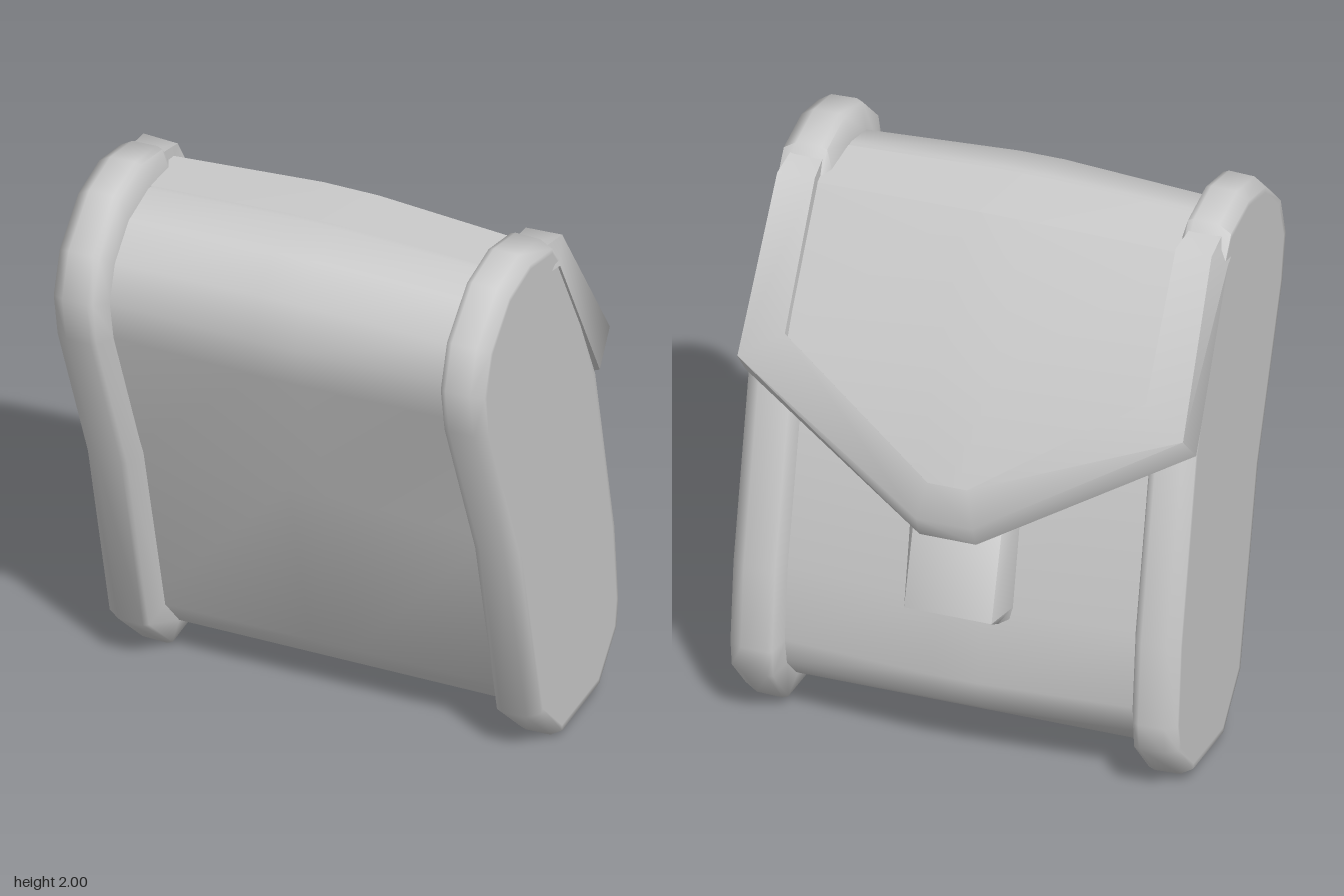
import * as THREE from 'three';
import { toCreasedNormals } from 'three/addons/utils/BufferGeometryUtils.js';

const material = new THREE.MeshStandardMaterial({ color: 0xcccccc });
const thinMaterial = new THREE.MeshStandardMaterial({ color: 0xcccccc, side: THREE.DoubleSide });

// Skin a series of closed cross-sections, cap both ends and turn faces outward
function loft(rings, crease) {
  const n = rings[0].length, pos = rings.flat(2), idx = [];
  for (let r = 0; r < rings.length - 1; r++) {
    for (let i = 0; i < n; i++) {
      const a = r * n + i, b = r * n + (i + 1) % n;
      idx.push(a, b, b + n, a, b + n, a + n);
    }
  }
  [[0, true], [rings.length - 1, false]].forEach(([r, flip]) => {
    const c = pos.length / 3;
    for (let k = 0; k < 3; k++) pos.push(rings[r].reduce((s, p) => s + p[k], 0) / n);
    for (let i = 0; i < n; i++) {
      const a = r * n + i, b = r * n + (i + 1) % n;
      idx.push(c, flip ? b : a, flip ? a : b);
    }
  });
  const p = (i) => new THREE.Vector3().fromArray(pos, i * 3);
  let volume = 0;
  for (let i = 0; i < idx.length; i += 3) volume += p(idx[i]).dot(p(idx[i + 1]).cross(p(idx[i + 2])));
  if (volume < 0) idx.reverse();
  return finish(pos, idx, crease);
}

function finish(pos, idx, crease) {
  const g = new THREE.BufferGeometry();
  g.setAttribute('position', new THREE.Float32BufferAttribute(pos, 3));
  g.setIndex(idx);
  return toCreasedNormals(g, crease);
}

// Side silhouette as [z, y]; the first list is the rim, the second the body
const rimProfile = [
  [0.58, 1.65], [0.53, 1.81], [0.37, 1.96], [0.2, 2], [0.03, 1.97], [-0.07, 1.82], [-0.17, 1.6], [-0.33, 1.28],
  [-0.48, 0.6], [-0.51, 0.3], [-0.5, 0.2], [-0.35, 0.03], [-0.05, 0], [0.14, 0.17], [0.31, 0.89], [0.55, 1.48],
];
const bodyProfile = [
  [0.49, 1.62], [0.45, 1.75], [0.34, 1.86], [0.19, 1.9], [0.02, 1.87], [-0.08, 1.76], [-0.15, 1.56], [-0.26, 1.26],
  [-0.41, 0.6], [-0.44, 0.32], [-0.42, 0.22], [-0.32, 0.12], [-0.05, 0.1], [0.06, 0.22], [0.23, 0.9], [0.46, 1.47],
];

// Rim cross-section at x, drawn part of the way in towards the body profile
const rimRing = (x, inset) => rimProfile.map(([z, y], i) => [
  x, y + (bodyProfile[i][1] - y) * inset, z + (bodyProfile[i][0] - z) * inset]);

// Body cross-section; bulge pushes the middle out at front, top and back
const bodyRing = (x, bulge) => bodyProfile.map(([z, y]) => [
  x, y + (y > 1.7 ? 0.025 * bulge : 0), z + bulge * (z > 0.3 ? 0.02 : z < -0.2 && y > 0.2 ? -0.04 : 0)]);

export function createModel() {
  const model = new THREE.Group();
  const add = (name, geometry, mat = material) => {
    const mesh = new THREE.Mesh(geometry, mat);
    mesh.name = name;
    model.add(mesh);
  };

  // Main pouch
  add('pouchBody', loft([bodyRing(-0.68, 0), bodyRing(-0.08, 1), bodyRing(0.08, 1), bodyRing(0.68, 0)], 0.9));

  // Padded side panels with raised rims
  for (const s of [-1, 1]) {
    add(s > 0 ? 'leftSidePanel' : 'rightSidePanel', loft([
      rimRing(s * 0.615, 1), rimRing(s * 0.64, 0.08), rimRing(s * 0.66, 0),
      rimRing(s * 0.75, 0.03), rimRing(s * 0.793, 0.3), rimRing(s * 0.793, 0.5)], 1.2));
  }

  // Flap rim: stations of inner edge, outer edge, lower edge and hidden back
  const halfRim = [
    [[0.66, 1.95, 0.12], [0.76, 1.95, 0.12], [0.78, 1.86, 0.12], [0.66, 1.83, 0.15]],
    [[0.64, 1.92, -0.09], [0.77, 1.92, -0.1], [0.8, 1.85, -0.02], [0.64, 1.75, 0]],
    [[0.64, 1.48, -0.38], [0.79, 1.39, -0.43], [0.8, 1.28, -0.33], [0.62, 1.3, -0.22]],
    [[0.07, 1.12, -0.555], [0.1, 0.99, -0.585], [0.1, 0.91, -0.55], [0.08, 0.94, -0.4]],
  ];
  const mirror = (ring) => ring.map(([x, y, z]) => [-x, y, z]);
  add('flapRim', loft([...halfRim, ...halfRim.map(mirror).reverse()], 1.1));

  // Flap panel, set slightly below its rim: rows of [half width, y, z, swell]
  const rows = [[0.68, 1.9, 0.17, 0.025], [0.68, 1.885, -0.06, 0.025], [0.68, 1.45, -0.36, 0.025], [0.12, 1.08, -0.535, 0]];
  const pos = [], idx = [];
  rows.forEach(([w, y, z, swell], r) => {
    for (const t of [-1, -0.15, 0.15, 1]) {
      const k = Math.abs(t) < 1 ? swell : 0;
      pos.push(t * w, y + k, z - (r > 0 ? k : 0));
    }
    if (r === 0) return;
    for (let i = 0; i < 3; i++) {
      const a = (r - 1) * 4 + i, b = r * 4 + i;
      idx.push(a, a + 1, b + 1, a, b + 1, b);
    }
  });
  add('flapPanel', finish(pos, idx, 0.9), thinMaterial);

  // Closing tab below the flap, its sides sloping back into the pouch
  const tab = [[-0.43, 0.98], [-0.55, 0.61], [-0.49, 0.575], [-0.38, 0.6], [-0.33, 0.98]];
  const tabBase = [[-0.37, 0.98], [-0.44, 0.62], [-0.43, 0.575], [-0.38, 0.6], [-0.33, 0.98]];
  const tabRing = (x, profile) => profile.map(([z, y]) => [x, y, z]);
  add('closingTab', loft([
    tabRing(-0.19, tabBase), tabRing(-0.155, tab), tabRing(0.155, tab), tabRing(0.19, tabBase)], 1.3));

  return model;
}
